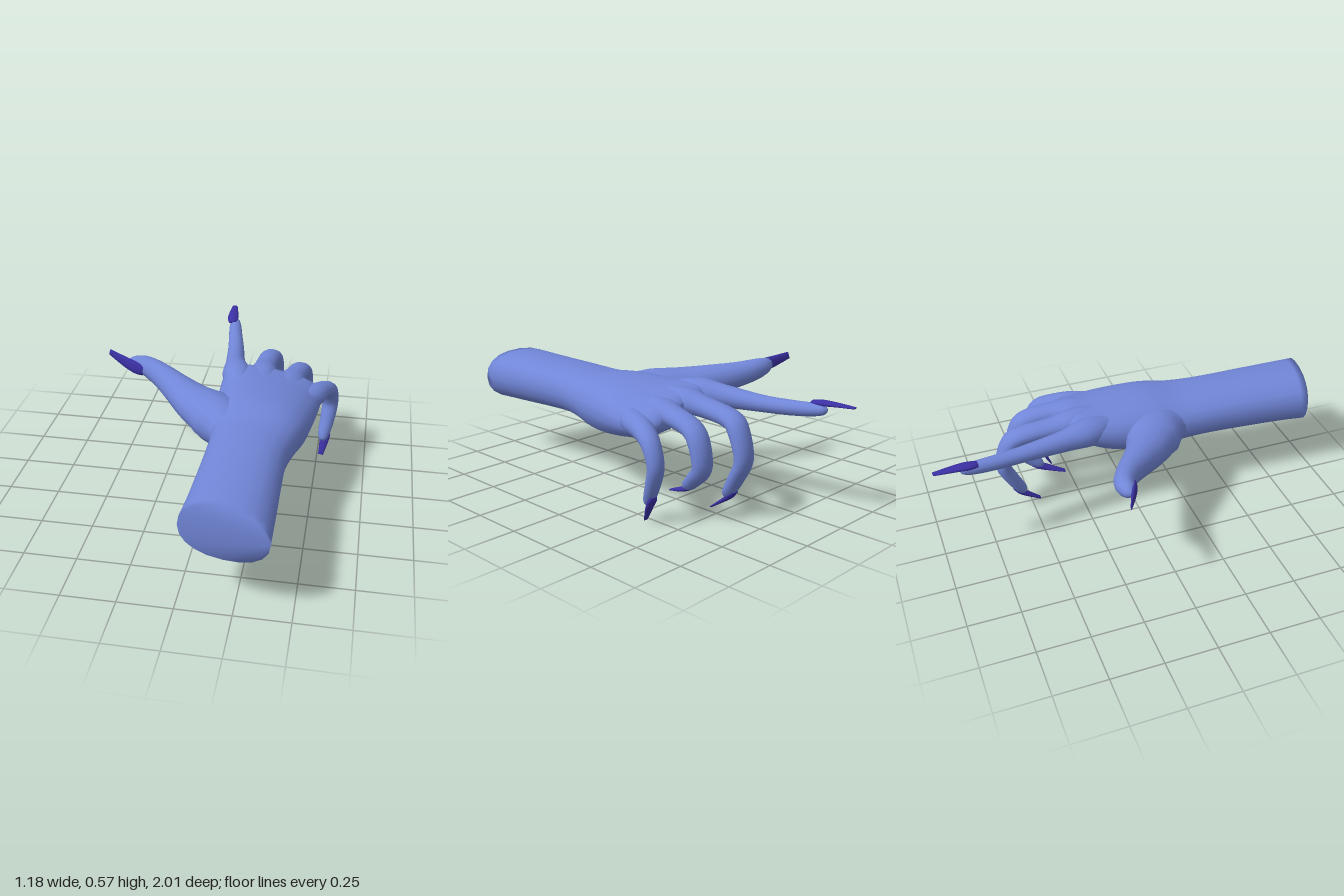
import * as THREE from 'three';

const skin = new THREE.MeshStandardMaterial({ color: 0x7186d8 });
skin.name = 'blue skin';
const nailColour = new THREE.MeshStandardMaterial({ color: 0x3c31a6 });
nailColour.name = 'violet nail';

const X = new THREE.Vector3(1, 0, 0);
const Y = new THREE.Vector3(0, 1, 0);

// Smooth tube through oval sections [x, y, z, half width, half height, roll].
// The width of each oval runs along the side direction; a power below 1 squares it off.
function loft(name, material, sections, side, { sides = 16, steps = 4, power = 1 } = {}) {
  const path = new THREE.CatmullRomCurve3(
    sections.map(s => new THREE.Vector3(s[0], s[1], s[2])), false, 'catmullrom');
  const sizes = new THREE.CatmullRomCurve3(
    sections.map(s => new THREE.Vector3(s[3], s[4], s[5] || 0)), false, 'catmullrom');
  const bend = n => Math.sign(n) * Math.abs(n) ** power;
  const rings = (sections.length - 1) * steps;
  const pos = [], index = [];
  for (let i = 0; i <= rings; i++) {
    const c = path.getPoint(i / rings);
    const t = path.getTangent(i / rings);
    const size = sizes.getPoint(i / rings);
    const u = side.clone().addScaledVector(t, -side.dot(t)).normalize().applyAxisAngle(t, size.z);
    const v = new THREE.Vector3().crossVectors(t, u);
    for (let j = 0; j < sides; j++) {
      const a = (j / sides) * Math.PI * 2;
      const p = c.clone()
        .addScaledVector(u, bend(Math.cos(a)) * size.x)
        .addScaledVector(v, bend(Math.sin(a)) * size.y);
      pos.push(p.x, p.y, p.z);
    }
  }
  for (let i = 0; i < rings; i++) {
    for (let j = 0; j < sides; j++) {
      const k = (j + 1) % sides;
      const a = i * sides + j, b = i * sides + k, c = b + sides, d = a + sides;
      index.push(a, b, c, a, c, d);
    }
  }
  // Caps share the end rings, so the shading runs smoothly over them
  const last = rings * sides;
  for (let j = 1; j < sides - 1; j++) {
    index.push(0, j + 1, j, last, last + j, last + j + 1);
  }
  const geometry = new THREE.BufferGeometry();
  geometry.setAttribute('position', new THREE.Float32BufferAttribute(pos, 3));
  geometry.setIndex(index);
  geometry.computeVertexNormals();
  const mesh = new THREE.Mesh(geometry, material);
  mesh.name = name;
  return mesh;
}

export function createModel() {
  const hand = new THREE.Group();
  hand.name = 'pointing hand';

  // Forearm, wrist and palm; the palm rolls down towards the little finger
  const arm = loft('forearmAndPalm', skin, [
    [0.205, 0.397, 0.97, 0.196, 0.131, 0],
    [0.21, 0.402, 0.8, 0.19, 0.126, 0],
    [0.215, 0.41, 0.45, 0.184, 0.117, 0],
    [0.226, 0.409, 0.28, 0.2, 0.117, 0.02],
    [0.238, 0.408, 0.14, 0.225, 0.134, 0.05],
    [0.247, 0.412, 0.02, 0.24, 0.13, 0.09],
    [0.255, 0.425, -0.12, 0.25, 0.108, 0.14],
    [0.262, 0.443, -0.22, 0.252, 0.082, 0.18],
    [0.262, 0.45, -0.28, 0.235, 0.065, 0.2],
    [0.26, 0.45, -0.315, 0.18, 0.035, 0.2],
  ], X, { sides: 20, power: 0.88 });
  // Slanted cut at the end of the forearm
  const p = arm.geometry.attributes.position;
  for (let i = 0; i < p.count; i++) {
    const blend = THREE.MathUtils.smoothstep(p.getZ(i), 0.75, 0.97);
    p.setZ(i, p.getZ(i) + blend * 0.15 * (p.getX(i) - 0.205));
  }
  arm.geometry.computeVertexNormals();
  hand.add(arm);

  // Thumb, growing out of the wrist
  hand.add(loft('thumb', skin, [
    [0.12, 0.41, 0.29, 0.06, 0.06],
    [0.085, 0.412, 0.17, 0.105, 0.115],
    [0.02, 0.42, 0.085, 0.112, 0.135],
    [-0.09, 0.44, 0.012, 0.092, 0.108],
    [-0.19, 0.463, -0.07, 0.078, 0.08],
    [-0.29, 0.488, -0.155, 0.064, 0.06],
    [-0.38, 0.51, -0.207, 0.052, 0.05],
    [-0.45, 0.521, -0.213, 0.036, 0.036],
    [-0.482, 0.525, -0.205, 0.012, 0.012],
  ], Y));

  // Pointing index finger
  hand.add(loft('indexFinger', skin, [
    [0.125, 0.465, -0.08, 0.05, 0.055],
    [0.08, 0.486, -0.23, 0.076, 0.068],
    [0.05, 0.485, -0.36, 0.052, 0.054],
    [0.022, 0.483, -0.56, 0.042, 0.039],
    [-0.002, 0.487, -0.7, 0.037, 0.035],
    [-0.02, 0.496, -0.81, 0.032, 0.03],
    [-0.028, 0.502, -0.86, 0.022, 0.022],
    [-0.03, 0.505, -0.877, 0.006, 0.006],
  ], X));

  // Curled middle, ring and little fingers
  hand.add(loft('middleFinger', skin, [
    [0.225, 0.465, -0.06, 0.05, 0.055],
    [0.205, 0.477, -0.25, 0.078, 0.062],
    [0.203, 0.468, -0.38, 0.058, 0.048],
    [0.212, 0.449, -0.54, 0.056, 0.043],
    [0.222, 0.405, -0.597, 0.056, 0.043],
    [0.228, 0.285, -0.634, 0.052, 0.037],
    [0.23, 0.19, -0.595, 0.046, 0.034],
    [0.231, 0.115, -0.552, 0.034, 0.027],
    [0.231, 0.09, -0.535, 0.01, 0.01],
  ], X));
  hand.add(loft('ringFinger', skin, [
    [0.3, 0.45, -0.06, 0.05, 0.055],
    [0.335, 0.452, -0.24, 0.08, 0.06],
    [0.358, 0.448, -0.34, 0.06, 0.048],
    [0.378, 0.427, -0.46, 0.056, 0.043],
    [0.388, 0.375, -0.515, 0.056, 0.043],
    [0.39, 0.265, -0.537, 0.051, 0.04],
    [0.372, 0.198, -0.48, 0.044, 0.036],
    [0.357, 0.15, -0.425, 0.032, 0.027],
    [0.352, 0.135, -0.405, 0.01, 0.01],
  ], X));
  hand.add(loft('littleFinger', skin, [
    [0.4, 0.425, -0.06, 0.045, 0.05],
    [0.458, 0.415, -0.2, 0.066, 0.055],
    [0.5, 0.405, -0.29, 0.053, 0.047],
    [0.536, 0.374, -0.37, 0.047, 0.04],
    [0.549, 0.285, -0.414, 0.042, 0.035],
    [0.542, 0.2, -0.392, 0.038, 0.033],
    [0.53, 0.13, -0.36, 0.032, 0.028],
    [0.526, 0.095, -0.342, 0.022, 0.021],
    [0.525, 0.083, -0.335, 0.007, 0.007],
  ], X));

  // Long tapered nails: base, middle and tip points, then the width direction
  const nails = [
    ['thumbNail', [-0.395, 0.5, -0.165], [-0.49, 0.522, -0.205], [-0.588, 0.553, -0.25], 0.036, Y],
    ['indexNail', [-0.036, 0.524, -0.795], [-0.043, 0.531, -0.89], [-0.052, 0.533, -1], 0.029, X],
    ['middleNail', [0.231, 0.125, -0.59], [0.232, 0.08, -0.54], [0.236, 0.022, -0.46], 0.028, X],
    ['ringNail', [0.36, 0.155, -0.465], [0.35, 0.12, -0.39], [0.328, 0.086, -0.295], 0.031, X],
    ['littleNail', [0.538, 0.135, -0.39], [0.533, 0.075, -0.358], [0.52, 0.005, -0.322], 0.026, X],
  ];
  for (const [name, base, middle, tip, width, side] of nails) {
    hand.add(loft(name, nailColour, [
      [...base, width * 0.7, 0.009],
      [...base.map((b, i) => b + (middle[i] - b) * 0.4), width, 0.014],
      [...middle, width * 0.92, 0.011],
      [...tip, width * 0.5, 0.004],
    ], side, { sides: 10, steps: 3 }));
  }
  return hand;
}
